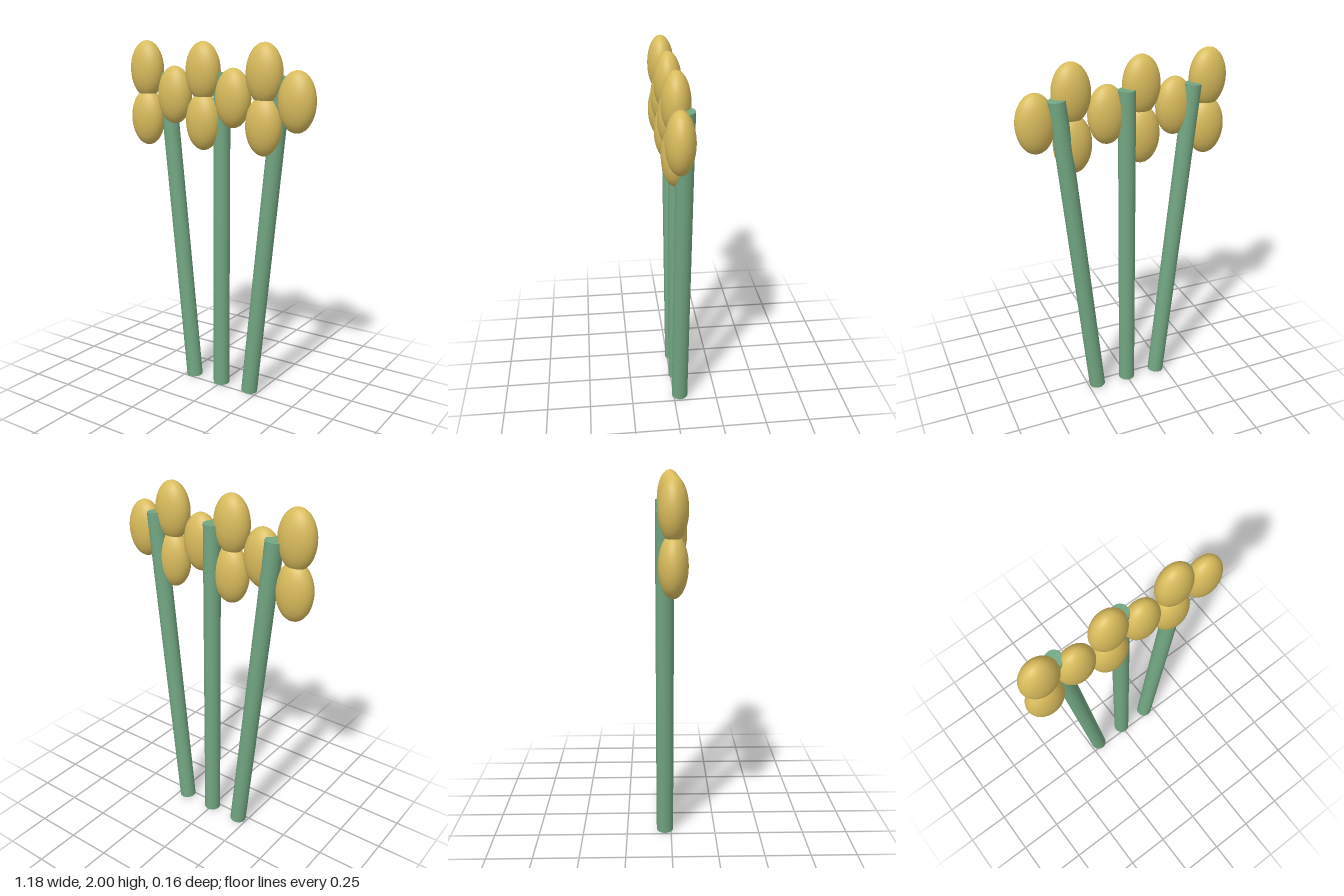
import * as THREE from 'three';

export function createModel() {
  const model = new THREE.Group();
  const green = new THREE.MeshStandardMaterial({ color: 0x72a681 });
  green.name = 'stemGreen';
  const gold = new THREE.MeshStandardMaterial({ color: 0xd8bb5c });
  gold.name = 'blossomGold';

  // Stem stands on its base, so that it leans from the foot
  const stemGeometry = new THREE.CylinderGeometry(0.047, 0.047, 1.83, 24);
  stemGeometry.translate(0, 0.915, 0);
  const petalGeometry = new THREE.SphereGeometry(1, 32, 20);
  petalGeometry.scale(0.105, 0.16, 0.075);

  // Three stems fanning outwards, each with a cluster of three petals
  ['right', 'middle', 'left'].forEach((side, i) => {
    const s = i - 1;
    const flower = new THREE.Group();
    flower.name = side + 'Flower';

    const stem = new THREE.Mesh(stemGeometry, green);
    stem.name = side + 'Stem';
    stem.position.set(s * 0.195, 0.005, -0.035);
    stem.rotation.z = -s * 0.1;
    flower.add(stem);

    const petals = [
      ['UpperPetal', -0.097, 1.84],
      ['LowerPetal', -0.097, 1.568],
      ['SidePetal', 0.097, 1.704],
    ];
    for (const [name, x, y] of petals) {
      const petal = new THREE.Mesh(petalGeometry, gold);
      petal.name = side + name;
      petal.position.set(s * 0.386 + x, y, 0.004);
      flower.add(petal);
    }
    model.add(flower);
  });
  return model;
}
